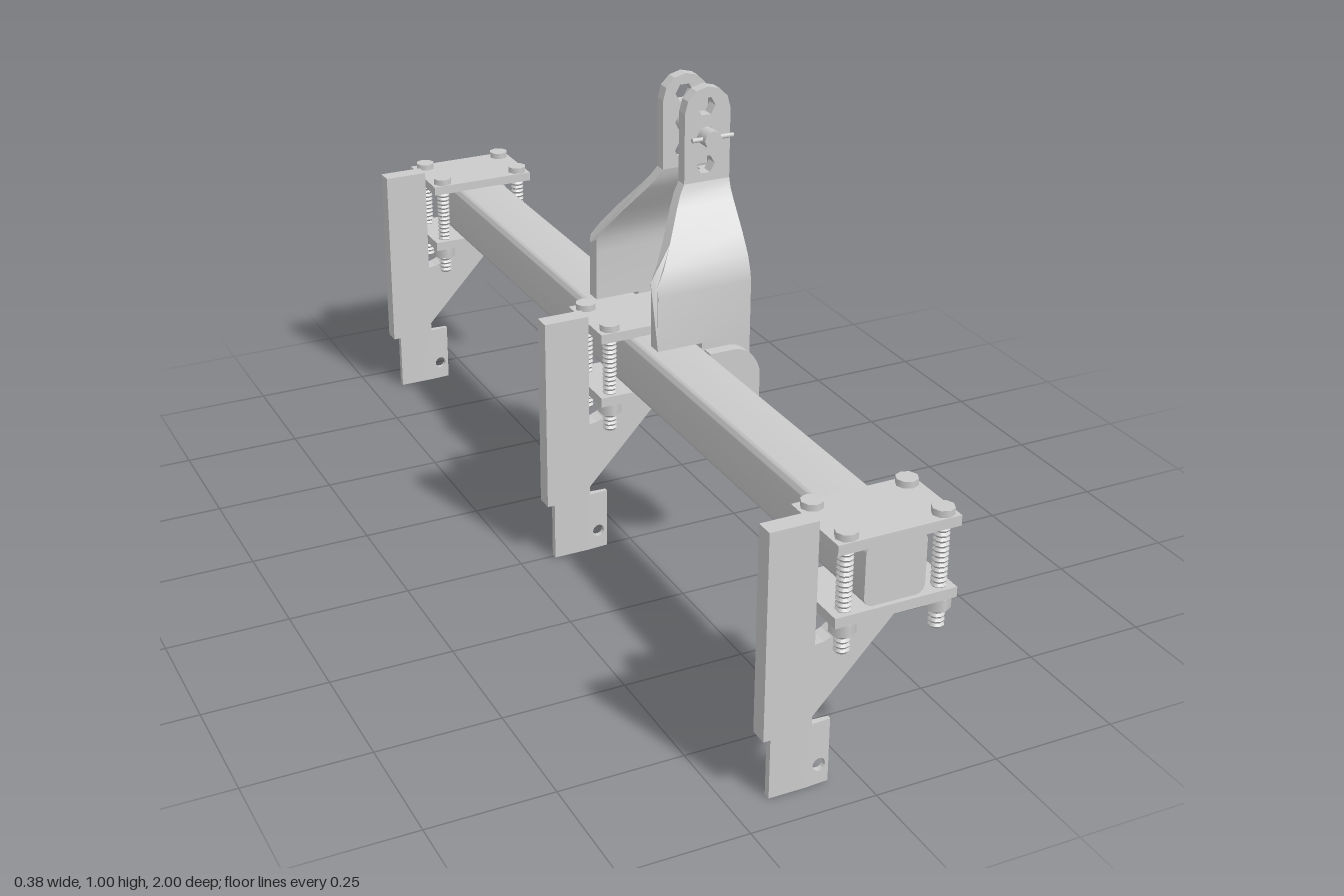
import * as THREE from 'three';
import { toCreasedNormals } from 'three/addons/utils/BufferGeometryUtils.js';

const material = new THREE.MeshStandardMaterial({ color: 0xcccccc });
const V = (x, y) => new THREE.Vector2(x, y);
const shapeOf = (points) => new THREE.Shape(points.map(([x, y]) => V(x, y)));

function add(parent, name, geometry, x = 0, y = 0, z = 0) {
  const mesh = new THREE.Mesh(geometry, material);
  mesh.name = name;
  mesh.position.set(x, y, z);
  parent.add(mesh);
  return mesh;
}

// Flat plate drawn in x/y, thickness centred on z = 0
function plate(shape, thickness, curveSegments = 6) {
  return new THREE.ExtrudeGeometry(shape, { depth: thickness, bevelEnabled: false, curveSegments })
    .translate(0, 0, -thickness / 2);
}

// Plate drawn in z/y whose front side lies at x = front
function crossPlate(points, depth, front) {
  return new THREE.ExtrudeGeometry(shapeOf(points), { depth, bevelEnabled: false })
    .rotateY(-Math.PI / 2).translate(front, 0, 0);
}

function punch(shape, x, y, r, sides) {
  const pts = [];
  for (let i = 0; i < sides; i++) {
    const a = (i / sides) * Math.PI * 2;
    pts.push(V(x + r * Math.cos(a), y + r * Math.sin(a)));
  }
  shape.holes.push(new THREE.Path(pts));
}

// Cylinder along z between two depths
const rod = (r, z0, z1, sides) =>
  new THREE.CylinderGeometry(r, r, Math.abs(z1 - z0), sides).rotateX(Math.PI / 2).translate(0, 0, (z0 + z1) / 2);

// Threaded stud: ridged lathe profile
function threadGeometry(y0, y1, turns) {
  const pts = [V(0, y0)];
  for (let i = 0; i <= turns * 2; i++) pts.push(V(i % 2 ? 0.015 : 0.0115, y0 + ((y1 - y0) * i) / (turns * 2)));
  pts.push(V(0, y1));
  return toCreasedNormals(new THREE.LatheGeometry(pts, 10), 0.7);
}

// Square tool bar with rounded corners
function beamGeometry() {
  const [l, r, b, t, c] = [-0.04, 0.08, 0.385, 0.505, 0.018];
  const s = new THREE.Shape();
  s.absarc(r - c, t - c, c, 0, Math.PI / 2);
  s.absarc(l + c, t - c, c, Math.PI / 2, Math.PI);
  s.absarc(l + c, b + c, c, Math.PI, Math.PI * 1.5);
  s.absarc(r - c, b + c, c, Math.PI * 1.5, Math.PI * 2);
  return toCreasedNormals(plate(s, 1.98, 5), 0.6);
}

// Upright shank with gusset and a bolt relief
function shankGeometry() {
  const s = new THREE.Shape();
  s.moveTo(-0.195, 0.13);
  s.lineTo(-0.1, 0.13);
  s.lineTo(-0.1, 0.155);
  s.lineTo(0.085, 0.352);
  s.lineTo(0.085, 0.365);
  s.lineTo(-0.035, 0.365);
  s.quadraticCurveTo(-0.045, 0.3, -0.1, 0.3);
  s.lineTo(-0.1, 0.54);
  s.lineTo(-0.195, 0.54);
  return plate(s, 0.036);
}

// Front half of the blade, thinning towards its edge
function bladeEdgeGeometry() {
  const s = shapeOf([[-0.1, 0], [-0.055, 0], [-0.055, 0.13], [-0.1, 0.13]]);
  punch(s, -0.075, 0.04, 0.013, 14);
  const g = plate(s, 0.014);
  const p = g.attributes.position;
  for (let i = 0; i < p.count; i++) p.setZ(i, p.getZ(i) * (1 - 0.4 * (p.getX(i) + 0.1) / 0.045));
  g.computeVertexNormals();
  return g;
}

// Curved hitch side: strip in z/y whose back edge slopes with height
const outerCurve = [[0.16, 0.505], [0.16, 0.62], [0.156, 0.64], [0.145, 0.67], [0.12, 0.71], [0.08, 0.765], [0.066, 0.787], [0.06, 0.805]];
const innerCurve = [[0.128, 0.505], [0.128, 0.61], [0.126, 0.64], [0.115, 0.67], [0.09, 0.71], [0.055, 0.76], [0.04, 0.785], [0.035, 0.805]];
function sideGeometry(side) {
  const pts = [...outerCurve, ...innerCurve.slice().reverse()].map(([z, y]) => [z * side, y]);
  const g = crossPlate(pts, 1, 0.19);
  const p = g.attributes.position;
  for (let i = 0; i < p.count; i++) {
    const t = THREE.MathUtils.clamp((p.getY(i) - 0.64) / 0.165, 0, 1);
    if (p.getX(i) < 0) p.setX(i, -0.015 + 0.105 * t);
  }
  return toCreasedNormals(g, 0.6);
}

export function createModel() {
  const model = new THREE.Group();
  model.name = 'toolBarHitch';
  add(model, 'beam', beamGeometry());

  // Three clamped shanks along the beam
  const shank = shankGeometry();
  const bladeEdge = bladeEdgeGeometry();
  const bladeBack = new THREE.BoxGeometry(0.075, 0.13, 0.014);
  const clampPlate = new THREE.BoxGeometry(0.24, 0.02, 0.158);
  const thread = threadGeometry(0.303, 0.52, 22);
  const head = new THREE.CylinderGeometry(0.021, 0.021, 0.014, 8);
  const nut = new THREE.CylinderGeometry(0.024, 0.024, 0.024, 6);
  for (const z of [-0.92, 0, 0.92]) {
    const unit = new THREE.Group();
    unit.name = 'shankUnit';
    unit.position.z = z;
    model.add(unit);
    add(unit, 'shank', shank);
    add(unit, 'bladeBack', bladeBack, -0.1375, 0.065);
    add(unit, 'bladeEdge', bladeEdge);
    add(unit, 'topClampPlate', clampPlate, 0.02, 0.514);
    add(unit, 'bottomClampPlate', clampPlate, 0.02, 0.375);
    for (const x of [-0.072, 0.116]) for (const dz of [-0.057, 0.057]) {
      add(unit, 'boltThread', thread, x, 0, dz);
      add(unit, 'boltHead', head, x, 0.53, dz);
      add(unit, 'nut', nut, x, 0.353, dz);
    }
  }

  // Hitch frame
  const hitch = new THREE.Group();
  hitch.name = 'hitch';
  model.add(hitch);

  const ear = new THREE.Shape();
  ear.moveTo(0.09, 0.805);
  ear.lineTo(0.19, 0.805);
  ear.lineTo(0.19, 0.95);
  ear.absarc(0.14, 0.95, 0.05, 0, Math.PI);
  for (const y of [0.84, 0.9, 0.96]) punch(ear, 0.137, y, 0.02, 6);
  const earGeometry = plate(ear, 0.025, 3);

  const leg = new THREE.Shape();
  leg.moveTo(0.082, 0.507);
  leg.lineTo(0.082, 0.36);
  leg.quadraticCurveTo(0.09, 0.3, 0.14, 0.3);
  leg.quadraticCurveTo(0.19, 0.305, 0.19, 0.335);
  leg.lineTo(0.19, 0.507);
  const legGeometry = plate(leg, 0.032);

  const lug = new THREE.Shape();
  lug.moveTo(0.078, 0.5);
  lug.lineTo(0.078, 0.36);
  lug.quadraticCurveTo(0.09, 0.3, 0.14, 0.3);
  lug.quadraticCurveTo(0.19, 0.305, 0.19, 0.335);
  lug.lineTo(0.19, 0.445);
  lug.quadraticCurveTo(0.175, 0.495, 0.135, 0.5);
  const lugGeometry = plate(lug, 0.025);

  for (const s of [-1, 1]) {
    add(hitch, 'hitchSide', sideGeometry(s));
    add(hitch, 'hitchEar', earGeometry, 0, 0, s * 0.0475);
    add(hitch, 'hitchLeg', legGeometry, 0, 0, s * 0.144);
    add(hitch, 'beamLug', lugGeometry, 0, 0, s * 0.192);
    add(hitch, 'lowerPin', rod(0.02, s * 0.11, s * 0.205, 16), 0.14, 0.355);
    add(hitch, 'lowerPinHead', rod(0.03, s * 0.204, s * 0.213, 16), 0.14, 0.355);
    add(hitch, 'lowerPinNut', rod(0.03, s * 0.112, s * 0.13, 6), 0.14, 0.355);
  }

  // Front web joining the two sides
  const half = [[0.132, 0.59], ...innerCurve.slice(1, -1).map(([z, y]) => [z + 0.004, y]), [0.04, 0.8]];
  const mirrored = half.slice().reverse().map(([z, y]) => [-z, y]);
  add(hitch, 'hitchWeb', crossPlate([...half, ...mirrored], 0.022, 0.189));

  // Upper pin with its cross bar
  add(hitch, 'upperPin', rod(0.019, -0.062, 0.092, 8), 0.137, 0.9);
  add(hitch, 'upperPinHead', rod(0.026, -0.071, -0.06, 16), 0.137, 0.9);
  const bar = new THREE.CylinderGeometry(0.005, 0.005, 0.09, 8).rotateZ(Math.PI / 2);
  add(hitch, 'upperPinCrossBar', bar, 0.142, 0.9, 0.078);

  return model;
}
